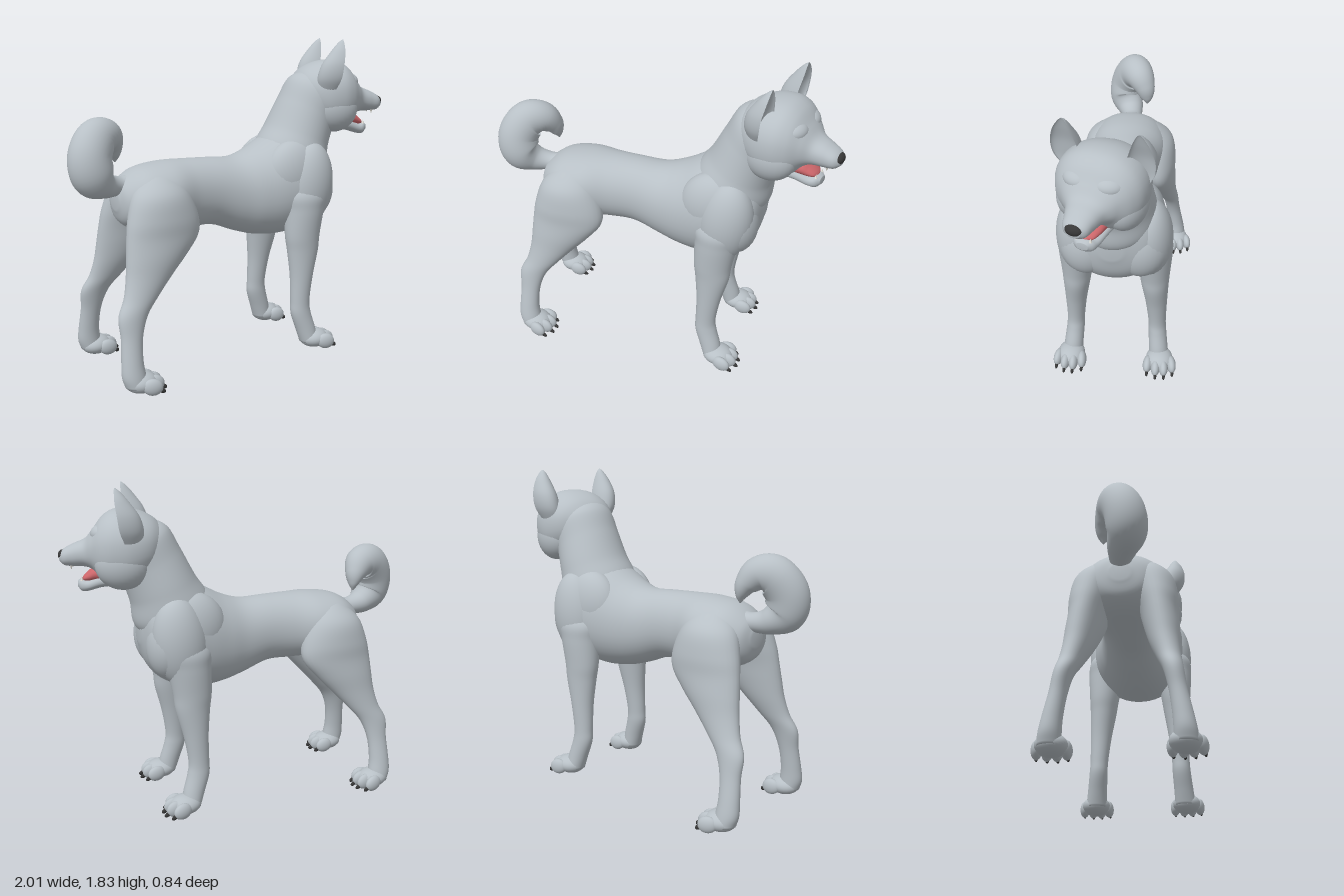
import * as THREE from 'three';

const mat = (name, color, side = THREE.FrontSide) => {
  const m = new THREE.MeshStandardMaterial({ color, side });
  m.name = name;
  return m;
};
const V = (x, y, z) => new THREE.Vector3(x, y, z);

// Smooth skin through elliptical sections [x, y, z, halfWidth, halfDepth].
// dir fixes the section normal; without it the sections follow the path.
// dent < 1 pushes in the forward half of each section, making a cup.
// power < 1 makes the sections squarer.
function loft(sections, { dir = null, steps = 40, sides = 32, dent = 1, power = 1 } = {}) {
  const curve = pts => new THREE.CatmullRomCurve3(pts, false, 'catmullrom', 0.5);
  const path = curve(sections.map(s => V(s[0], s[1], s[2])));
  const radii = curve(sections.map(s => V(s[3], s[4], 0)));
  const bend = v => Math.sign(v) * Math.abs(v) ** power;
  const pos = [], index = [];
  for (let i = 0; i <= steps; i++) {
    const t = i / steps, c = path.getPoint(t), r = radii.getPoint(t);
    const T = dir ? dir : path.getTangent(t);
    const S = V(0, 0, 1).addScaledVector(T, -T.z).normalize();
    const U = V(0, 0, 0).crossVectors(T, S);
    for (let j = 0; j < sides; j++) {
      const a = j / sides * Math.PI * 2, s = bend(Math.sin(a));
      const p = c.clone().addScaledVector(S, bend(Math.cos(a)) * Math.max(r.x, 0.002))
        .addScaledVector(U, s * (s > 0 ? dent : 1) * Math.max(r.y, 0.002));
      pos.push(p.x, p.y, p.z);
    }
  }
  const first = pos.length / 3, end = path.getPoint(1), start = path.getPoint(0);
  pos.push(start.x, start.y, start.z, end.x, end.y, end.z);
  for (let j = 0; j < sides; j++) {
    const k = (j + 1) % sides, e = steps * sides;
    for (let i = 0; i < steps; i++) {
      const o = i * sides, n = o + sides;
      index.push(o + j, o + k, n + k, o + j, n + k, n + j);
    }
    index.push(first, k, j, first + 1, e + j, e + k);
  }
  const g = new THREE.BufferGeometry();
  g.setAttribute('position', new THREE.Float32BufferAttribute(pos, 3));
  g.setIndex(index);
  g.computeVertexNormals();
  return g;
}

const X = V(1, 0, 0), DOWN = V(0, -1, 0), UP = V(0, 1, 0);
// Section given by its top and bottom heights
const span = ([x, top, bottom, w]) => [x, (top + bottom) / 2, 0, w, (top - bottom) / 2];

export function createModel() {
  const fur = mat('greyFur', 0xb8c0c6);
  const earFur = mat('greyEarFur', 0xb8c0c6, THREE.DoubleSide);
  const dark = mat('darkNoseAndClaws', 0x383838);
  const red = mat('redTongue', 0xcf686c);
  const ivory = mat('ivoryTeeth', 0xe4e2da);

  const dog = new THREE.Group();
  dog.name = 'dog';
  const add = (parent, name, geo, material = fur) => {
    const m = new THREE.Mesh(geo, material);
    m.name = name;
    parent.add(m);
    return m;
  };
  const ball = (parent, name, p, r, material = fur, tilt = 0, yaw = 0) => {
    const m = add(parent, name, new THREE.SphereGeometry(1, 32, 22), material);
    m.position.set(...p);
    m.scale.set(...r);
    m.rotation.set(0, yaw, tilt);
    return m;
  };

  // Trunk from rump to breastbone
  add(dog, 'trunk', loft([
    [-0.735, 1.02, 0.93, 0.05], [-0.70, 1.085, 0.85, 0.14], [-0.6, 1.15, 0.80, 0.22],
    [-0.45, 1.175, 0.79, 0.23], [-0.3, 1.175, 0.785, 0.185], [-0.15, 1.17, 0.78, 0.172],
    [0, 1.165, 0.725, 0.19], [0.12, 1.2, 0.69, 0.225], [0.25, 1.265, 0.675, 0.262],
    [0.38, 1.31, 0.69, 0.28], [0.5, 1.29, 0.75, 0.25], [0.57, 1.21, 0.84, 0.19],
    [0.605, 1.10, 0.96, 0.06],
  ].map(span), { dir: X, steps: 72, sides: 40, power: 0.95 }));

  // Neck rising out of the withers into the back of the skull
  add(dog, 'neck', loft([
    [0.36, 1.0, 0, 0.19, 0.16], [0.41, 1.13, 0, 0.232, 0.222], [0.46, 1.26, 0, 0.218, 0.195],
    [0.52, 1.4, 0.01, 0.2, 0.183], [0.583, 1.515, 0.02, 0.19, 0.178], [0.63, 1.59, 0.02, 0.14, 0.10],
  ], { steps: 56, sides: 40 }));

  // Curled bushy tail
  add(dog, 'tail', loft([
    [-0.62, 1.06, 0, 0.06, 0.06], [-0.71, 1.06, 0, 0.058, 0.053], [-0.80, 1.077, 0.02, 0.08, 0.075],
    [-0.868, 1.13, 0.05, 0.105, 0.115], [-0.883, 1.23, 0.04, 0.108, 0.118],
    [-0.83, 1.318, 0, 0.103, 0.112], [-0.758, 1.325, -0.04, 0.09, 0.094],
    [-0.71, 1.275, -0.075, 0.065, 0.064], [-0.69, 1.22, -0.09, 0.04, 0.034],
    [-0.685, 1.175, -0.095, 0.004, 0.004],
  ], { steps: 64 }));

  // Paw with four toes and claws; x is the toe line
  const paw = (side, x, z, yaw) => {
    const g = new THREE.Group();
    g.name = 'paw';
    g.position.set(x, 0, z * side);
    g.rotation.y = -yaw * side;
    ball(g, 'pawPad', [-0.05, 0.056, 0], [0.09, 0.056, 0.08]);
    for (let i = 0; i < 4; i++) {
      const tz = (i - 1.5) * 0.047, fx = i === 1 || i === 2 ? 0.015 : -0.01;
      ball(g, 'toe', [fx, 0.047, tz], [0.055, 0.046, 0.028], fur, -0.2, -tz * 2);
      ball(g, 'claw', [fx + 0.05, 0.022, tz * 1.08], [0.021, 0.013, 0.009], dark, -0.5);
    }
    dog.add(g);
  };

  for (const side of [1, -1]) {
    const leg = (name, rows) => add(dog, name,
      loft(rows.map(([x, y, z, a, b]) => [x, y, z * side, a, b]), { dir: DOWN, steps: 64 }));

    // Front leg, shoulder and breast muscles
    leg('frontLeg', [
      [0.40, 1.06, 0.18, 0.05, 0.06], [0.39, 0.95, 0.20, 0.11, 0.14], [0.375, 0.85, 0.212, 0.105, 0.125],
      [0.36, 0.7, 0.22, 0.088, 0.11], [0.36, 0.6, 0.225, 0.077, 0.098],
      [0.347, 0.45, 0.235, 0.062, 0.072], [0.335, 0.3, 0.242, 0.052, 0.06],
      [0.34, 0.22, 0.246, 0.053, 0.064], [0.37, 0.12, 0.255, 0.056, 0.062], [0.39, 0.04, 0.262, 0.06, 0.055],
    ]);
    ball(dog, 'shoulder', [0.415, 0.985, 0.19 * side], [0.155, 0.255, 0.128], fur, -0.12);
    ball(dog, 'shoulderBlade', [0.34, 1.05, 0.15 * side], [0.2, 0.205, 0.122], fur, -0.4);
    ball(dog, 'breast', [0.46, 0.975, 0.145 * side], [0.132, 0.2, 0.152], fur, 0.1);
    paw(side, 0.475, 0.27, 0.06);

    // Hind leg from hip to hock to paw
    leg('hindLeg', [
      [-0.52, 1.15, 0.07, 0.02, 0.03], [-0.52, 1.1, 0.11, 0.08, 0.10], [-0.53, 1.02, 0.148, 0.118, 0.165],
      [-0.53, 0.9, 0.175, 0.115, 0.205],
      [-0.54, 0.8, 0.19, 0.10, 0.212], [-0.585, 0.7, 0.205, 0.09, 0.178], [-0.64, 0.6, 0.22, 0.076, 0.135],
      [-0.70, 0.5, 0.242, 0.061, 0.10], [-0.76, 0.41, 0.265, 0.05, 0.083], [-0.78, 0.3, 0.285, 0.045, 0.061],
      [-0.79, 0.18, 0.305, 0.05, 0.06], [-0.787, 0.1, 0.315, 0.056, 0.066], [-0.775, 0.04, 0.318, 0.06, 0.06],
    ]);
    paw(side, -0.695, 0.32, 0.12);
  }

  // Head, turned a little to one side; heights stay in model units
  const head = new THREE.Group();
  head.name = 'head';
  head.position.set(0.63, 0, 0.02);
  head.rotation.y = -0.3;
  dog.add(head);
  add(head, 'skullAndMuzzle', loft([
    [-0.2, 1.57, 1.45, 0.08], [-0.13, 1.65, 1.36, 0.18], [-0.03, 1.695, 1.29, 0.23],
    [0.07, 1.70, 1.285, 0.232], [0.14, 1.665, 1.31, 0.2], [0.195, 1.595, 1.37, 0.145],
    [0.24, 1.542, 1.388, 0.102], [0.30, 1.515, 1.39, 0.08], [0.35, 1.49, 1.395, 0.064],
    [0.378, 1.465, 1.415, 0.035],
  ].map(span), { dir: X, steps: 64, sides: 40, power: 0.9 }));
  add(head, 'lowerJaw', loft([
    [0.05, 1.335, 0, 0.12, 0.05], [0.15, 1.315, 0, 0.09, 0.04], [0.225, 1.288, 0, 0.068, 0.034],
    [0.262, 1.287, 0, 0.055, 0.036], [0.285, 1.292, 0, 0.03, 0.02],
  ], { dir: X, power: 0.88 }));
  add(head, 'tongue', loft([
    [0.12, 1.355, 0, 0.09, 0.05], [0.185, 1.352, 0, 0.077, 0.046], [0.22, 1.337, 0, 0.062, 0.033],
    [0.25, 1.325, 0, 0.042, 0.017], [0.262, 1.322, 0, 0.01, 0.004],
  ], { dir: X }), red);
  ball(head, 'nose', [0.362, 1.45, 0], [0.027, 0.03, 0.045], dark);

  for (const side of [1, -1]) {
    ball(head, 'brow', [0.145, 1.58, 0.085 * side], [0.055, 0.045, 0.075], fur, -0.4, -0.35 * side);
    ball(head, 'closedEyelid', [0.17, 1.52, 0.105 * side], [0.03, 0.02, 0.045], fur, 0, -0.6 * side);
    ball(head, 'cheek', [0.03, 1.42, 0.125 * side], [0.15, 0.14, 0.108]);

    // Upright cupped ear
    add(head, 'ear', loft([
      [0.0, 1.52, 0.16 * side, 0.06, 0.08], [0.026, 1.6, 0.188 * side, 0.074, 0.118],
      [0.038, 1.68, 0.2 * side, 0.07, 0.11], [0.05, 1.755, 0.202 * side, 0.048, 0.07],
      [0.054, 1.805, 0.198 * side, 0.022, 0.03], [0.054, 1.825, 0.196 * side, 0.004, 0.004],
    ], { dir: UP, dent: -0.3 }), earFur);

    // Upper and lower canine teeth
    for (const [x, y, flip] of [[0.315, 1.386, Math.PI], [0.262, 1.325, 0]]) {
      const tooth = add(head, 'tooth', new THREE.ConeGeometry(0.008, 0.024, 10), ivory);
      tooth.position.set(x, y, 0.036 * side);
      tooth.rotation.x = flip;
    }
  }
  return dog;
}
